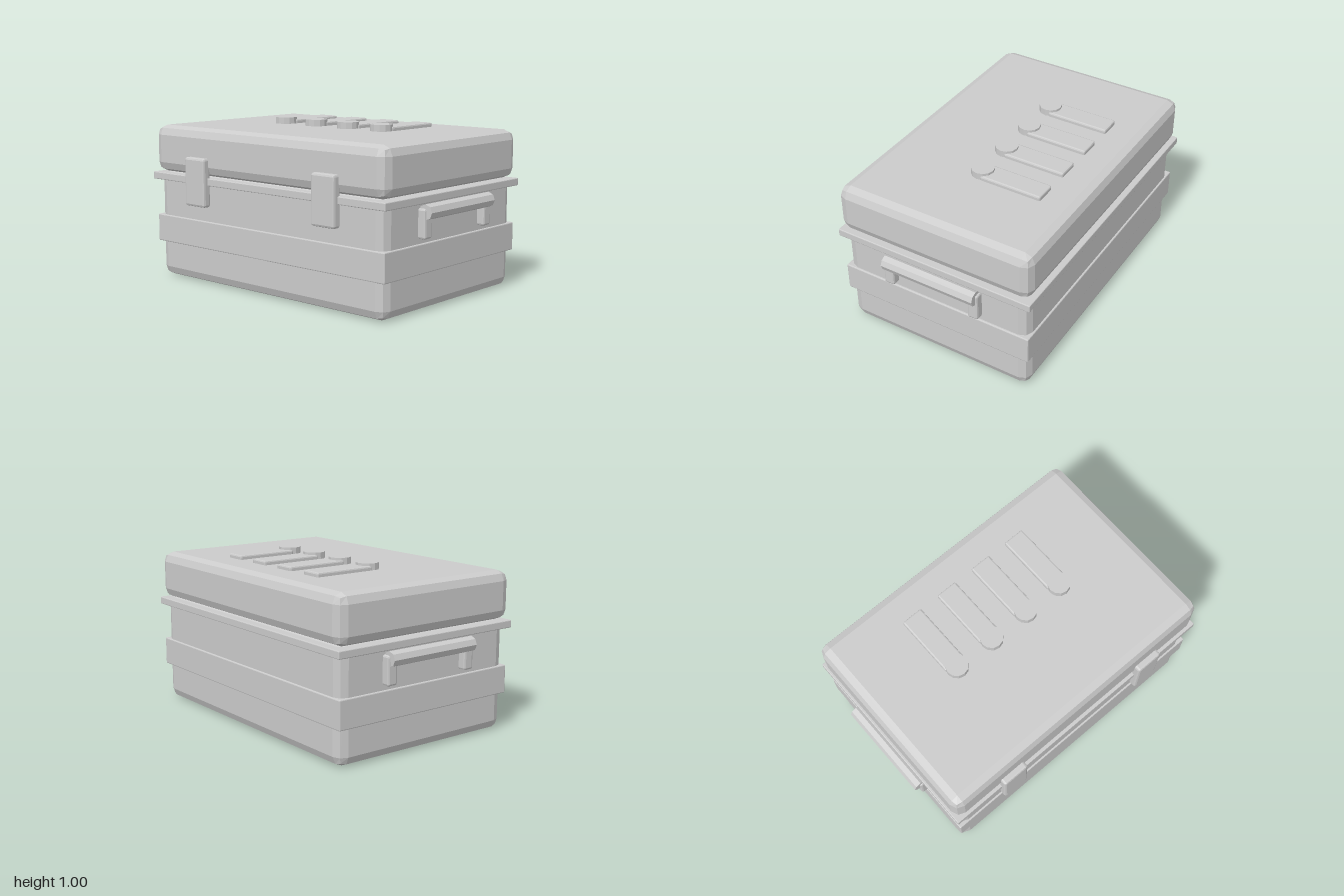
import * as THREE from 'three';
import { RoundedBoxGeometry } from 'three/addons/geometries/RoundedBoxGeometry.js';

const material = new THREE.MeshStandardMaterial({ color: 0xcccccc, flatShading: true });

// Bevelled box given by its extents along each axis
function box(name, [x0, x1], [y0, y1], [z0, z1], bevel) {
  const geometry = new RoundedBoxGeometry(x1 - x0, y1 - y0, z1 - z0, 1, bevel);
  const mesh = new THREE.Mesh(geometry, material);
  mesh.name = name;
  mesh.position.set((x0 + x1) / 2, (y0 + y1) / 2, (z0 + z1) / 2);
  return mesh;
}

function cylinder(name, radius, height, sides, x, y, z) {
  const mesh = new THREE.Mesh(new THREE.CylinderGeometry(radius, radius, height, sides), material);
  mesh.name = name;
  mesh.position.set(x, y, z);
  return mesh;
}

// Carrying handle: two brackets and an eight-sided grip
function sideHandle(side) {
  const group = new THREE.Group();
  group.name = side > 0 ? 'leftHandle' : 'rightHandle';
  const span = side > 0 ? [0.89, 0.963] : [-0.963, -0.89];
  group.add(box('frontBracket', span, [0.423, 0.595], [0.235, 0.302], 0.012));
  group.add(box('backBracket', span, [0.423, 0.595], [-0.334, -0.267], 0.012));
  const grip = cylinder('grip', 0.045, 0.612, 8, side * 0.955, 0.575, -0.015);
  grip.rotation.x = Math.PI / 2;
  group.add(grip);
  return group;
}

export function createModel() {
  const model = new THREE.Group();
  model.name = 'case';

  // Case shell
  model.add(box('body', [-0.915, 0.915], [0, 0.68], [-0.628, 0.598], 0.06));
  model.add(box('band', [-0.928, 0.928], [0.222, 0.394], [-0.639, 0.609], 0.006));
  model.add(box('rim', [-0.945, 0.945], [0.62, 0.666], [-0.657, 0.627], 0.005));
  model.add(box('lid', [-0.936, 0.936], [0.67, 0.963], [-0.648, 0.618], 0.06));

  // Latches and handles, mirrored
  for (const side of [-1, 1]) {
    const x = side * 0.525;
    model.add(box(side > 0 ? 'leftLatch' : 'rightLatch',
      [x - 0.087, x + 0.087], [0.487, 0.786], [0.602, 0.657], 0.014));
    model.add(sideHandle(side));
  }

  // Row of bars with round knobs on the lid
  for (let i = 0; i < 4; i++) {
    const x = -0.394 + i * 0.261;
    model.add(box('lidBar', [x - 0.068, x + 0.068], [0.95, 0.989], [-0.432, -0.037], 0.01));
    model.add(cylinder('lidKnob', 0.069, 0.053, 12, x, 0.977, -0.018));
  }
  return model;
}
